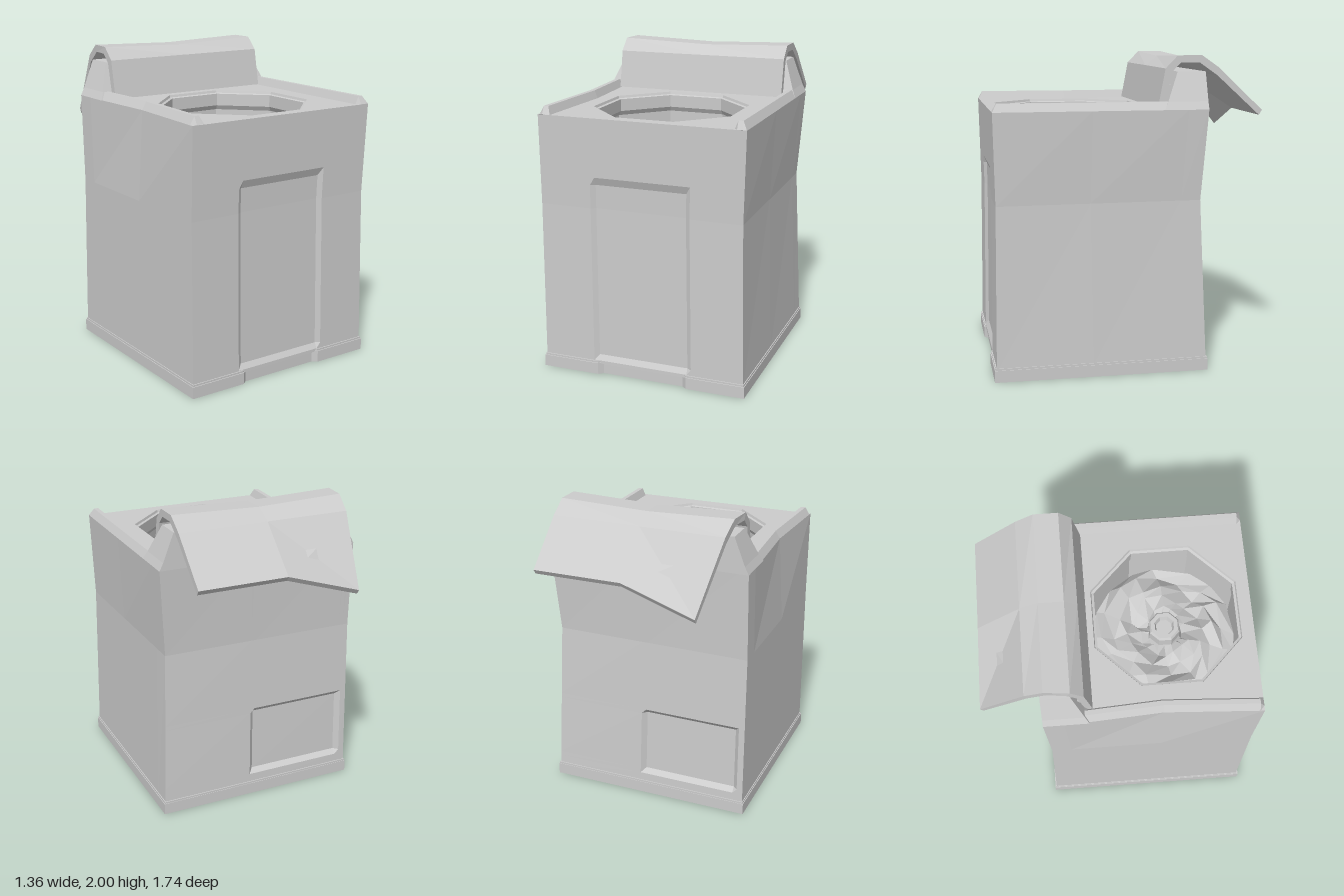
import * as THREE from 'three';

const material = new THREE.MeshStandardMaterial({ color: 0xcccccc, flatShading: true, side: THREE.DoubleSide });
const V = (x, y, z) => new THREE.Vector3(x, y, z);

function part(name, geometry) {
  const mesh = new THREE.Mesh(geometry, material);
  mesh.name = name;
  return mesh;
}

// Faceted skin over rows of points
function skin(rows) {
  const pos = [];
  for (let i = 0; i < rows.length - 1; i++) {
    for (let j = 0; j < rows[i].length - 1; j++) {
      const a = rows[i][j], b = rows[i][j + 1], c = rows[i + 1][j + 1], d = rows[i + 1][j];
      for (const p of [a, b, c, a, c, d]) pos.push(p.x, p.y, p.z);
    }
  }
  const g = new THREE.BufferGeometry();
  g.setAttribute('position', new THREE.Float32BufferAttribute(pos, 3));
  g.computeVertexNormals();
  return g;
}

// Battered sheet metal: pinched waist, and a dent along the top of the -x side
function warp(p) {
  const waist = p.y < 1.1 ? (p.y - 0.07) / 1.03 : Math.max(0, (1.67 - p.y) / 0.57);
  const back = THREE.MathUtils.clamp((0.855 - p.z) / 1.335, 0, 1);
  const right = (p.x + 0.67) / 1.34;
  const dent = Math.max(0, 1 - Math.abs(p.z - 0.25) / 0.6) * THREE.MathUtils.clamp((p.y - 1.1) / 0.57, 0, 1);
  p.x -= waist * right * (0.018 + 0.02 * back);
  if (p.x < -0.5) p.x += 0.035 * dent;
  p.z += waist * (back * (0.025 + 0.015 * right) - 0.012 * (1 - back));
  return p;
}

// Wall with an optional bevelled recess spanning index ranges of its grid lines
function wall(us, ys, place, recess) {
  return skin(ys.map((y, i) => us.map((u, j) => {
    const inside = recess && j >= recess.u[0] && j <= recess.u[1] && i >= recess.y[0] && i <= recess.y[1];
    return warp(place(u, y, inside ? recess.depth : 0));
  })));
}

// Eight-sided turned part, given flat-to-centre distances
function octagon(profile) {
  const k = 1 / Math.cos(Math.PI / 8);
  const g = new THREE.LatheGeometry(profile.map(([r, y]) => new THREE.Vector2(r * k, y)), 8, Math.PI / 8);
  g.translate(0, 0, 0.32);
  return g;
}

function buildCabinet() {
  const g = new THREE.Group();
  g.name = 'cabinet';
  g.add(part('frontWall', wall(
    [-0.67, -0.33, -0.3, 0.3, 0.33, 0.67], [0.07, 0.09, 0.125, 1.1, 1.25, 1.3, 1.67],
    (u, y, d) => V(u, y, 0.857 - d), { u: [2, 3], y: [2, 4], depth: 0.02 })));
  g.add(part('backWall', wall(
    [0.67, 0.06, 0.03, -0.6, -0.63, -0.67], [0.07, 0.14, 0.17, 0.59, 0.62, 1.1, 1.67],
    (u, y, d) => V(u, y, -0.48 + d), { u: [2, 3], y: [2, 3], depth: 0.03 })));
  const zs = [-0.48, -0.35, 0.25, 0.857], ys = [0.07, 1.1, 1.67];
  g.add(part('leftWall', wall([...zs].reverse(), ys, (u, y) => V(0.67, y, u))));
  g.add(part('rightWall', wall(zs, ys, (u, y) => V(-0.67, y, u))));

  // Plinth with a notch in its front edge
  const plan = [[-0.68, 0.49], [0.68, 0.49], [0.68, -0.87], [0.3, -0.87], [0.27, -0.845],
    [-0.27, -0.845], [-0.3, -0.87], [-0.68, -0.87]];
  for (const [name, y, h, s] of [['plinth', 0, 0.075, 1], ['plinthLip', 0.075, 0.012, 0.993]]) {
    const shape = new THREE.Shape(plan.map(([x, z]) => new THREE.Vector2(x * s, z * s)));
    const geo = new THREE.ExtrudeGeometry(shape, { depth: h, bevelEnabled: false });
    geo.rotateX(-Math.PI / 2).translate(0, y, 0);
    g.add(part(name, geo));
  }
  return g;
}

function buildTop() {
  const g = new THREE.Group();
  g.name = 'top';
  // Deck with octagonal opening
  const deck = new THREE.Shape([[-0.62, -0.857], [0.62, -0.857], [0.62, 0.3], [-0.62, 0.3]]
    .map(([x, y]) => new THREE.Vector2(x, y)));
  const hole = [];
  for (let i = 0; i < 8; i++) {
    const a = (i + 0.5) * Math.PI / 4, r = 0.457 / Math.cos(Math.PI / 8);
    hole.push(new THREE.Vector2(r * Math.cos(a), r * Math.sin(a) - 0.32));
  }
  deck.holes.push(new THREE.Path(hole));
  g.add(part('deck', new THREE.ShapeGeometry(deck).rotateX(-Math.PI / 2).translate(0, 1.67, 0)));

  // Raised side rails, bevelled at the front
  for (const s of [-1, 1]) {
    const section = (z, top) => [[0.67, 1.67], [0.64, top], [0.61, top], [0.588, 1.67]]
      .map(([x, y]) => warp(V(s * x, y, z)));
    const rows = [section(-0.26, 1.72), section(0.25, 1.72), section(0.83, 1.72), section(0.857, 1.672)];
    g.add(part(s > 0 ? 'leftRail' : 'rightRail', skin(s > 0 ? rows.reverse() : rows)));
  }

  // Console behind the deck with sloping sides
  const loop = (x, y, front) => [V(-x, y, front), V(x, y, front), V(x, y, -0.48), V(-x, y, -0.48), V(-x, y, front)];
  const low = loop(0.67, 1.67, -0.2), mid = loop(0.645, 1.72, -0.225), high = loop(0.575, 1.9, -0.3);
  g.add(part('console', skin([low, mid, high])));
  g.add(part('consoleTop', skin([[high[0], high[1]], [high[3], high[2]]])));
  return g;
}

function buildTub() {
  const g = new THREE.Group();
  g.name = 'tub';
  g.add(part('tubWall', octagon([[0.457, 1.67], [0.452, 1.655], [0.437, 1.65], [0.437, 1.57],
    [0.455, 1.54], [0.455, 1.2], [0, 1.2]])));
  g.add(part('agitator', octagon([[0.15, 1.2], [0.095, 1.38], [0.095, 1.46], [0.085, 1.475],
    [0.06, 1.475], [0.05, 1.44], [0, 1.44]])));

  // Crumpled laundry, a ring-shaped heap with seeded folds
  let seed = 11;
  const rnd = () => (seed = (seed * 16807) % 2147483647) / 2147483647 - 0.5;
  const n = 16;
  const rows = [0.46, 0.39, 0.31, 0.23, 0.15, 0.07].map((r, i) => {
    const ring = [];
    for (let j = 0; j < n; j++) {
      const a = (j + 0.5 * rnd()) * Math.PI * 2 / n, rr = r + (i ? 0.05 * rnd() : 0);
      const heap = i === 0 ? 0 : 0.05 * Math.sin(i * 0.7) + 0.03 * Math.sin(3 * a + i) + 0.09 * rnd();
      ring.push(V(rr * Math.sin(a), 1.34 + heap, 0.32 + rr * Math.cos(a)));
    }
    return [...ring, ring[0]];
  });
  g.add(part('laundry', skin(rows)));
  return g;
}

// Open lid: curved sheet folded over the console, sagging at its -x corner
function buildLid() {
  const g = new THREE.Group();
  g.name = 'lid';
  const outer = [[-0.175, 1.675], [-0.222, 1.92], [-0.3, 2], [-0.455, 2], [-0.57, 1.92], [-0.85, 1.655]];
  const inner = [[-0.215, 1.675], [-0.265, 1.9], [-0.32, 1.955], [-0.44, 1.955], [-0.555, 1.875], [-0.83, 1.625]];
  const sections = [0.58, 0, -0.58].map((x) => [outer, inner].map((profile) => profile.map(([z, y], i) => {
    const p = V(x, y, z);
    if (x === 0 && (i === 2 || i === 3)) p.y -= 0.018;
    if (x < 0) {
      p.x += [0, 0, 0, 0.015, 0.03, 0.1][i];
      if (i === 5) p.add(V(0, -0.15, -0.02));
    }
    return p;
  })));
  g.add(part('lidSheet', skin(sections.map(([o, i]) => [...o, ...[...i].reverse(), o[0]]))));
  const [first, , last] = sections;
  g.add(part('leftEdge', skin([first[1], first[0]])));
  g.add(part('rightEdge', skin(last)));
  // Hinge pins between lid and console
  for (const s of [-1, 1]) {
    const pin = new THREE.CylinderGeometry(0.022, 0.022, 0.06, 6).rotateZ(Math.PI / 2);
    g.add(part('hingePin', pin.translate(s * 0.54, 1.8, -0.25)));
  }
  return g;
}

export function createModel() {
  const model = new THREE.Group();
  model.name = 'washingMachine';
  model.add(buildCabinet(), buildTop(), buildTub(), buildLid());
  return model;
}
